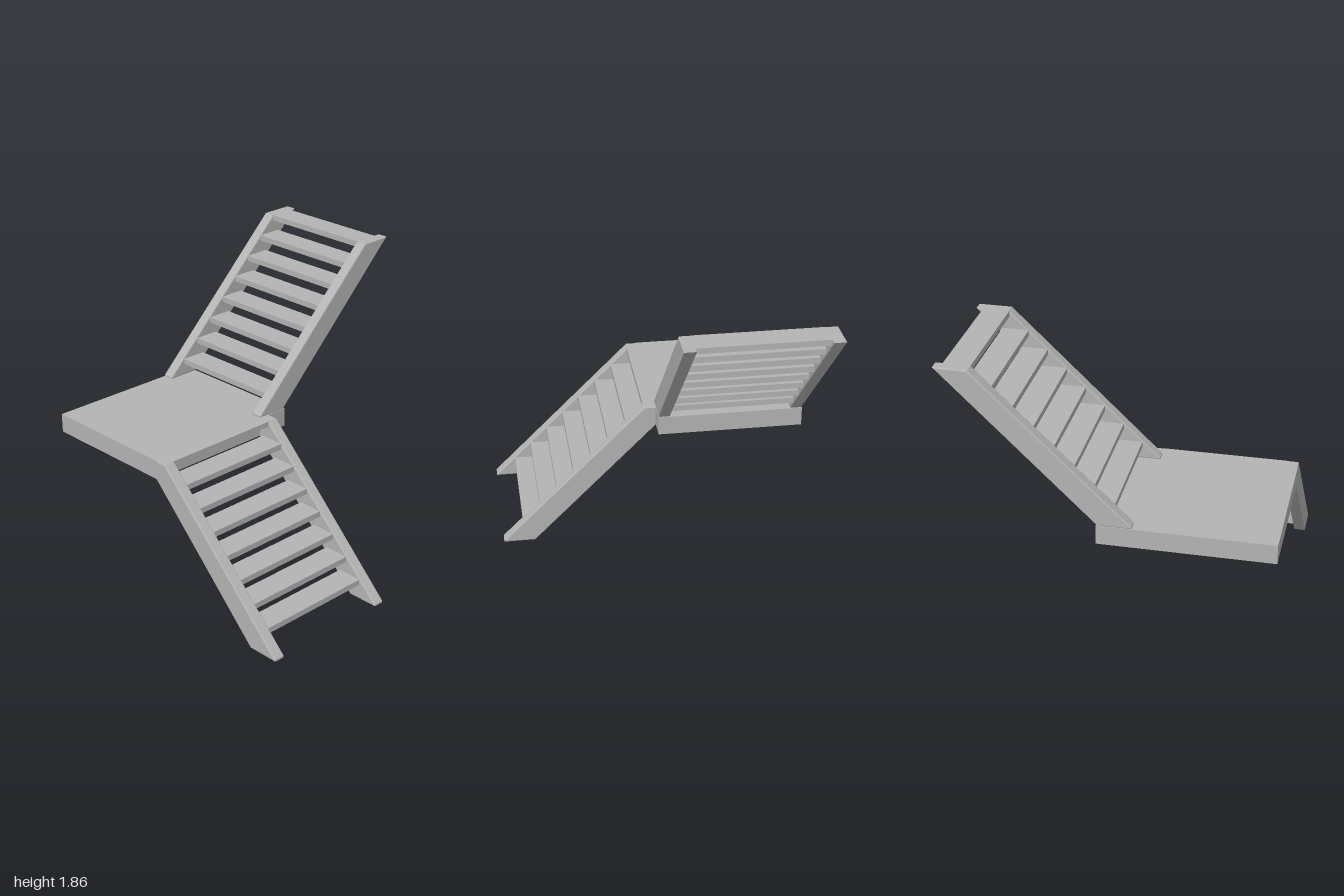
import * as THREE from 'three';

const grey = new THREE.MeshStandardMaterial({ color: 0xb4b4b4 });
grey.name = 'plain grey';

const STEPS = 8, STRINGER = 0.075, TREAD = 0.037, DEPTH = 0.165;

function part(name, geometry, parent) {
  const mesh = new THREE.Mesh(geometry, grey);
  mesh.name = name;
  parent.add(mesh);
  return mesh;
}

// Slanted side board: a parallelogram cut level at both ends, with softened edges
function stringerGeometry(run, rise) {
  const foot = 0.205, toe = 0.012, bevel = 0.008;
  const shape = new THREE.Shape([
    [0, 0], [foot, 0], [run + foot, rise], [run, rise], [0, toe],
  ].map(([x, y]) => new THREE.Vector2(x, y)));
  const geometry = new THREE.ExtrudeGeometry(shape, {
    depth: STRINGER - 2 * bevel, bevelEnabled: true, bevelThickness: bevel,
    bevelSize: bevel, bevelOffset: -bevel, bevelSegments: 2,
  });
  geometry.translate(0, 0, bevel - STRINGER / 2);
  return geometry;
}

// Open flight climbing along local +x, centred across z
function flight(name, run, rise, width, firstTop) {
  const group = new THREE.Group();
  group.name = name;

  const board = stringerGeometry(run, rise);
  for (const side of [-1, 1]) {
    part(side < 0 ? 'stringerA' : 'stringerB', board, group)
      .position.z = side * (width - STRINGER) / 2;
  }

  // Treads, with noses flush to the upper edge of the stringers
  const tread = new THREE.BoxGeometry(DEPTH, TREAD, width - 2 * STRINGER + 0.02);
  for (let i = 0; i < STEPS; i++) {
    const top = firstTop + (rise - firstTop) * i / (STEPS - 1);
    part('tread' + (i + 1), tread, group)
      .position.set(top * run / rise + DEPTH / 2 - 0.003, top - TREAD / 2, 0);
  }
  return group;
}

export function createModel() {
  const model = new THREE.Group();
  model.name = 'staircase';

  // Landing slab at the turn
  part('landing', new THREE.BoxGeometry(1.065, 0.122, 0.92), model)
    .position.set(-0.4675, 0.876, -0.5);

  // Lower flight climbs toward the back
  const lower = flight('lowerFlight', 0.93, 0.937, 0.925, 0.135);
  lower.rotation.y = Math.PI / 2;
  lower.position.set(-0.5375, 0, 0.962);
  model.add(lower);

  // Upper flight climbs from the landing toward +x
  const upper = flight('upperFlight', 0.94, 0.923, 0.92, 0.113);
  upper.position.set(-0.148, 0.937, -0.5);
  model.add(upper);

  return model;
}
